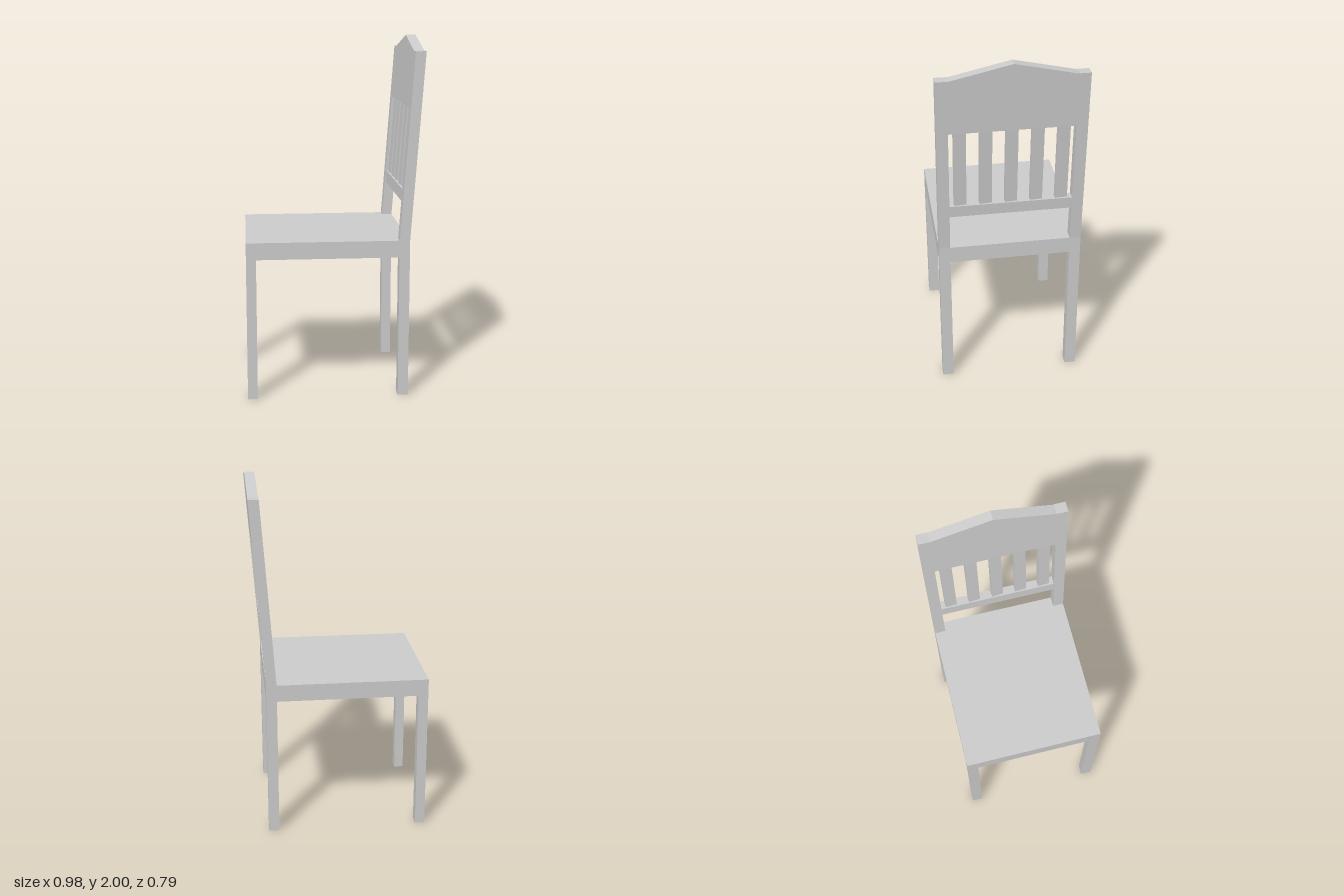
import * as THREE from 'three';

const material = new THREE.MeshStandardMaterial({ color: 0xcccccc, flatShading: true });

// Axis-aligned box given by its limits
function block(name, x0, x1, y0, y1, z0, z1) {
  const geometry = new THREE.BoxGeometry(x1 - x0, y1 - y0, z1 - z0);
  geometry.translate((x0 + x1) / 2, (y0 + y1) / 2, (z0 + z1) / 2);
  const mesh = new THREE.Mesh(geometry, material);
  mesh.name = name;
  return mesh;
}

// Front surface of the leaning backrest at height y
const SEAT_TOP = 0.895;
const lean = y => 0.355 + 0.0709 * (y - SEAT_TOP);

// Outline in (z, y), extruded along x, turned slightly, then sheared along the lean
function leaning(name, outline, inset, thickness, zCentre = 0, yaw = 0) {
  const shape = new THREE.Shape(outline.map(([z, y]) => new THREE.Vector2(z, y)));
  const geometry = new THREE.ExtrudeGeometry(shape, { depth: thickness, bevelEnabled: false });
  geometry.rotateY(-Math.PI / 2);
  geometry.translate(thickness / 2, 0, 0);
  geometry.rotateY(yaw);
  geometry.translate(inset + thickness / 2, 0, zCentre);
  const p = geometry.attributes.position;
  for (let i = 0; i < p.count; i++) p.setX(i, p.getX(i) + lean(p.getY(i)));
  geometry.computeVertexNormals();
  const mesh = new THREE.Mesh(geometry, material);
  mesh.name = name;
  return mesh;
}

const rect = (z0, z1, y0, y1) => [[z0, y0], [z1, y0], [z1, y1], [z0, y1]];

export function createModel() {
  const chair = new THREE.Group();
  chair.name = 'chair';

  // Seat slab
  chair.add(block('seat', -0.49, 0.413, 0.8, SEAT_TOP, -0.397, 0.397));

  // Legs and back posts, one pair per side
  for (const side of [-1, 1]) {
    const z0 = side > 0 ? 0.335 : -0.397;
    const z1 = z0 + 0.062;
    chair.add(block('frontLeg', -0.49, -0.435, 0, 0.8, z0, z1));
    chair.add(block('backLeg', 0.355, 0.413, 0, 0.8, z0, z1));
    chair.add(leaning('backPost', rect(z0, z1, SEAT_TOP, 1.925), 0, 0.058));
  }

  // Lower rail and peaked crest panel
  chair.add(leaning('lowerRail', rect(-0.335, 0.335, 1.1, 1.167), 0.005, 0.05));
  chair.add(leaning('crestPanel',
    [[-0.335, 1.62], [0.335, 1.62], [0.335, 1.923], [0, 2], [-0.335, 1.923]], 0.001, 0.056));

  // Five slats, each turned slightly
  for (let i = -2; i <= 2; i++) {
    chair.add(leaning('slat', rect(-0.033, 0.033, 1.167, 1.62), 0.014, 0.03, i * 0.1375, 0.07));
  }

  return chair;
}
